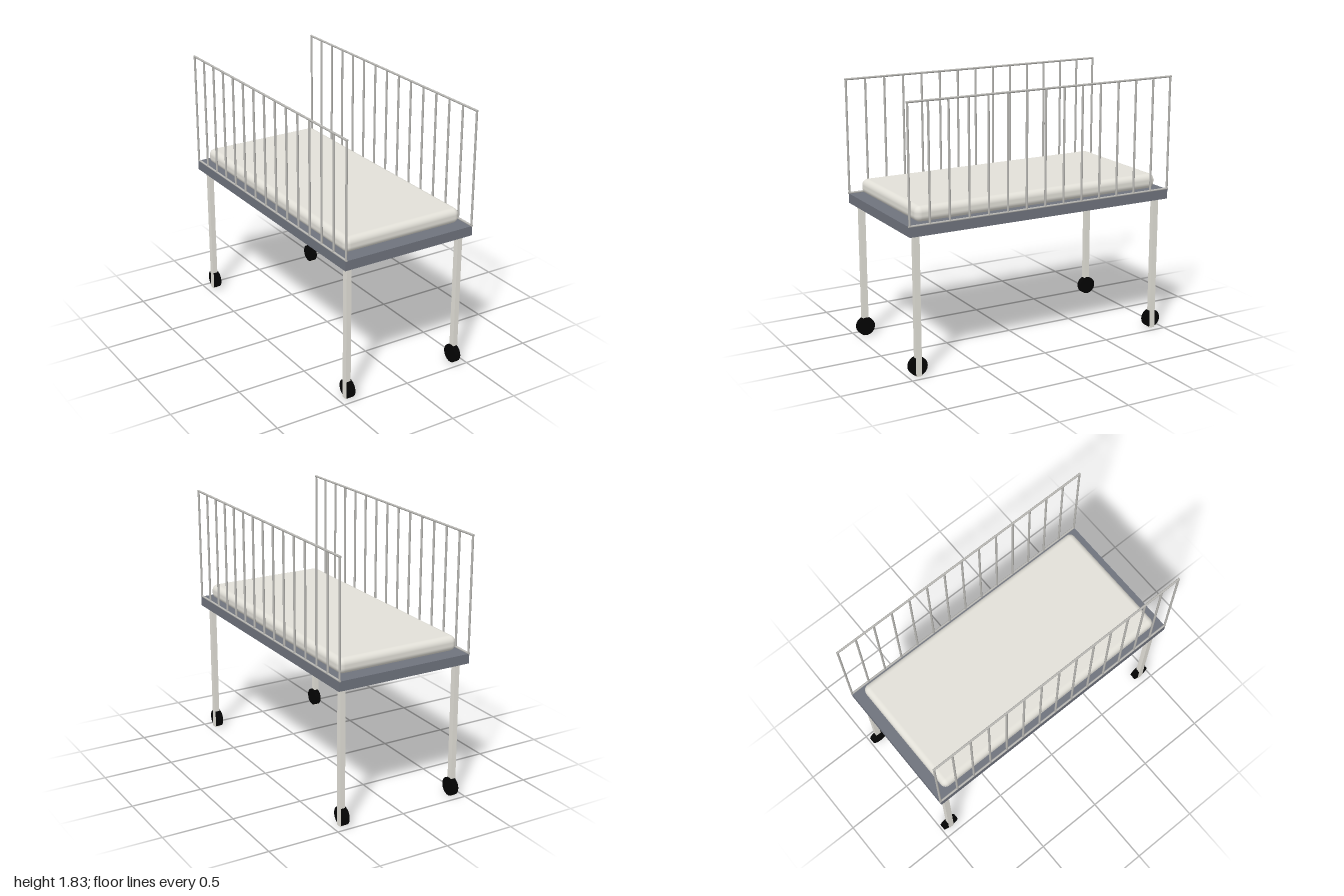
import * as THREE from 'three';
import { RoundedBoxGeometry } from 'three/addons/geometries/RoundedBoxGeometry.js';

export function createModel() {
  const mat = (name, color) => {
    const m = new THREE.MeshStandardMaterial({ color });
    m.name = name;
    return m;
  };
  const slate = mat('slate frame', 0x6f737d);
  const cream = mat('cream', 0xe2e0d8);
  const steel = mat('light steel', 0xb8b7b3);
  const rubber = mat('black rubber', 0x030303);

  const model = new THREE.Group();
  model.name = 'wheeledBed';
  const add = (parent, name, geometry, material, x, y, z) => {
    const mesh = new THREE.Mesh(geometry, material);
    mesh.name = name;
    mesh.position.set(x, y, z);
    parent.add(mesh);
    return mesh;
  };

  // Bed base and mattress
  add(model, 'base', new THREE.BoxGeometry(0.988, 0.067, 1.988), slate, 0, 0.996, 0);
  add(model, 'mattress', new RoundedBoxGeometry(0.896, 0.104, 1.85, 5, 0.042), cream, 0, 1.087, 0);

  // Square legs, each with a wheel set towards the inner side
  const legGeo = new THREE.BoxGeometry(0.036, 0.966, 0.041);
  const wheelGeo = new THREE.CylinderGeometry(0.064, 0.064, 0.041, 32).rotateZ(Math.PI / 2);
  for (const sx of [-1, 1]) {
    for (const sz of [-1, 1]) {
      add(model, 'leg', legGeo, cream, sx * 0.435, 0.483, sz * 0.928);
      add(model, 'wheel', wheelGeo, rubber, sx * 0.428, 0.067, sz * 0.928);
    }
  }

  // Side guards: top and bottom rails joined by evenly spaced bars
  const r = 0.0075, bottom = 1.034, top = 1.826, end = 0.992, gaps = 14;
  const railGeo = new THREE.CylinderGeometry(r, r, 2 * end + 2 * r, 12).rotateX(Math.PI / 2);
  const barGeo = new THREE.CylinderGeometry(r, r, top - bottom, 12);
  for (const sx of [-1, 1]) {
    const guard = new THREE.Group();
    guard.name = sx > 0 ? 'leftGuard' : 'rightGuard';
    guard.position.x = sx * 0.488;
    add(guard, 'topRail', railGeo, steel, 0, top, 0);
    add(guard, 'bottomRail', railGeo, steel, 0, bottom, 0);
    for (let i = 0; i <= gaps; i++) {
      add(guard, 'bar', barGeo, steel, 0, (top + bottom) / 2, -end + (2 * end * i) / gaps);
    }
    model.add(guard);
  }

  return model;
}
